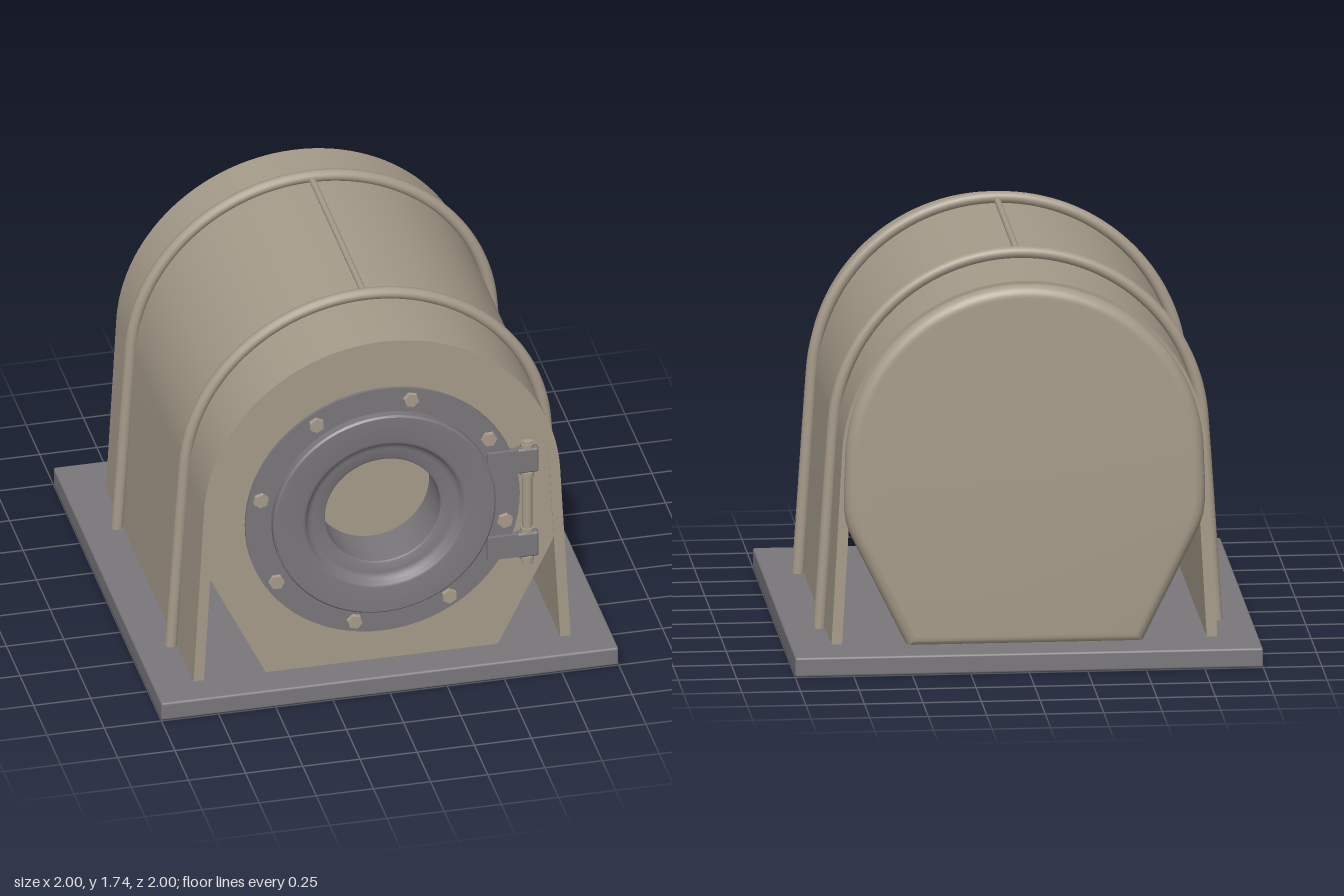
import * as THREE from 'three';
import { toCreasedNormals } from 'three/addons/utils/BufferGeometryUtils.js';
import { RoundedBoxGeometry } from 'three/addons/geometries/RoundedBoxGeometry.js';

const V2 = (x, y) => new THREE.Vector2(x, y);

// Arch outline from the right foot over the top to the left foot
function archPoints(centreY, radius, footX, footY) {
  const pts = [V2(footX, footY)];
  const n = 56, tilt = THREE.MathUtils.degToRad(4);
  for (let i = 0; i <= n; i++) {
    const a = tilt + (Math.PI - 2 * tilt) * i / n;
    pts.push(V2(radius * Math.cos(a), centreY + radius * Math.sin(a)));
  }
  pts.push(V2(-footX, footY));
  return pts;
}

// Barrel cross-section: round top, sides tapering in to a narrow foot
function bodyOutline() {
  const side = [V2(0.5, 0.07), V2(0.725, 0.525), V2(0.748, 0.575), V2(0.764, 0.625), V2(0.771, 0.68), V2(0.772, 0.76)];
  const pts = [...side];
  for (let i = 0; i <= 56; i++) {
    const a = Math.PI * i / 56;
    pts.push(V2(0.767 * Math.cos(a), 0.88 + 0.767 * Math.sin(a)));
  }
  side.reverse().forEach(p => pts.push(V2(-p.x, p.y)));
  return pts;
}

export function createModel() {
  const group = new THREE.Group();
  const tan = new THREE.MeshStandardMaterial({ color: 0xa69b8a });
  tan.name = 'tan paint';
  const grey = new THREE.MeshStandardMaterial({ color: 0x7a777a });
  grey.name = 'grey metal';

  const add = (name, geo, mat, x = 0, y = 0, z = 0, parent = group) => {
    const m = new THREE.Mesh(geo, mat);
    m.name = name;
    m.position.set(x, y, z);
    parent.add(m);
    return m;
  };
  const doorY = 0.83;

  // Base plate
  add('basePlate', new RoundedBoxGeometry(2, 0.085, 2, 2, 0.01), grey, 0, 0.0425, 0);

  // Barrel: solid rear with a rounded back edge
  const bevel = 0.05;
  const rear = new THREE.ExtrudeGeometry(new THREE.Shape(bodyOutline()), {
    depth: 1.37, bevelEnabled: true, bevelSize: bevel, bevelThickness: bevel,
    bevelOffset: -bevel, bevelSegments: 8,
  });
  add('barrelRear', toCreasedNormals(rear, 0.35), tan, 0, 0, -0.82 + bevel);

  // Barrel: front with a round opening
  const frontShape = new THREE.Shape(bodyOutline());
  frontShape.holes.push(new THREE.Path().absarc(0, doorY, 0.27, 0, Math.PI * 2, true));
  const front = new THREE.ExtrudeGeometry(frontShape, { depth: 0.27, bevelEnabled: false, curveSegments: 32 });
  add('barrelFront', toCreasedNormals(front, 0.35), tan, 0, 0, 0.578);

  // Arched outer shell
  const arch = [...archPoints(0.88, 0.78, 0.825, 0.07), ...archPoints(0.88, 0.733, 0.78, 0.07).reverse()];
  const shell = new THREE.ExtrudeGeometry(new THREE.Shape(arch), { depth: 1.622, bevelEnabled: false });
  add('outerShell', toCreasedNormals(shell, 0.35), tan, 0, 0, -0.77);

  // Hoops over the shell, joined by a rail along the ridge
  const hoopPts = archPoints(0.92, 0.791, 0.85, 0.07).map(p => new THREE.Vector3(p.x, p.y, 0));
  const hoopPath = new THREE.CatmullRomCurve3(hoopPts);
  for (const [name, z] of [['frontHoop', 0.535], ['rearHoop', -0.46]])
    add(name, new THREE.TubeGeometry(hoopPath, 140, 0.026, 12), tan, 0, 0, z);
  const rail = new THREE.CylinderGeometry(0.014, 0.014, 0.995, 12).rotateX(Math.PI / 2);
  add('topRail', rail, tan, 0, 1.705, 0.0375);

  // Round door: flange, raised ring, stepped throat and tunnel
  const profile = [
    [0.6, 0.84], [0.6, 0.862], [0.487, 0.862], [0.487, 0.897], [0.479, 0.905],
    [0.36, 0.905], [0.349, 0.902], [0.342, 0.894], [0.336, 0.882], [0.326, 0.873],
    [0.308, 0.868], [0.262, 0.868], [0.253, 0.862], [0.253, 0.6],
  ].map(([r, z]) => V2(r, z));
  const door = new THREE.LatheGeometry(profile, 72).rotateX(Math.PI / 2);
  add('doorRing', toCreasedNormals(door, 0.6), grey, 0, doorY, 0);

  // Hexagonal flange bolts
  const boltGeo = toCreasedNormals(new THREE.CylinderGeometry(0.033, 0.037, 0.025, 6).rotateX(Math.PI / 2), 0.3);
  for (let i = 0; i < 8; i++) {
    const a = THREE.MathUtils.degToRad(77 + 45 * i);
    const b = add('flangeBolt', boltGeo, tan, 0.548 * Math.cos(a), doorY + 0.548 * Math.sin(a), 0.866);
    b.rotation.z = a;
  }

  // Hinge: two arms with knuckles and a long pin
  const hinge = new THREE.Group();
  hinge.name = 'hinge';
  group.add(hinge);
  for (const y of [0.995, 0.577]) {
    add('hingeArm', new THREE.BoxGeometry(0.18, 0.11, 0.036), grey, 0.545, y, 0.86, hinge);
    add('hingeKnuckle', new RoundedBoxGeometry(0.095, 0.122, 0.06, 3, 0.012), grey, 0.633, y, 0.852, hinge);
    for (const s of [-1, 1])
      add('pinCollar', new THREE.CylinderGeometry(0.03, 0.03, 0.022, 16), tan, 0.633, y + s * 0.07, 0.858, hinge);
  }
  add('hingePin', new THREE.CylinderGeometry(0.022, 0.022, 0.605, 16), tan, 0.633, 0.782, 0.858, hinge);

  return group;
}
